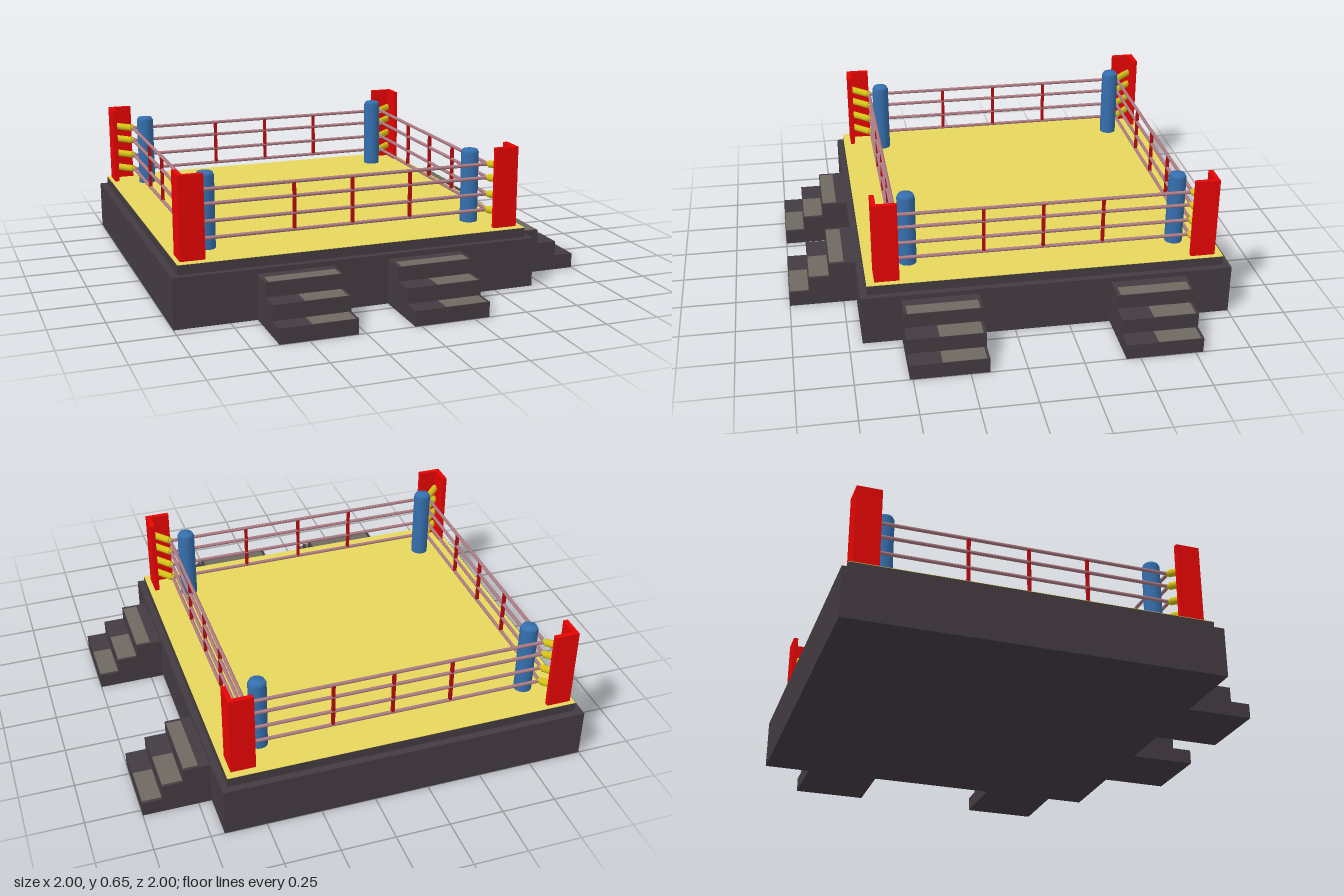
import * as THREE from 'three';

const mat = (name, color) => {
  const m = new THREE.MeshStandardMaterial({ color });
  m.name = name;
  return m;
};

export function createModel() {
  const M = {
    base: mat('charcoal', 0x433b41),
    tread: mat('worn grey', 0x6e6960),
    canvas: mat('canvas yellow', 0xe8d85e),
    red: mat('post red', 0xea0404),
    blue: mat('pad blue', 0x356fae),
    brass: mat('turnbuckle yellow', 0xd2c016),
    rope: mat('rope mauve', 0xac7a82),
    strap: mat('strap dark red', 0xb40c10),
  };
  const ring = new THREE.Group();
  ring.name = 'boxingRing';

  const add = (parent, name, geo, material, x = 0, y = 0, z = 0) => {
    const mesh = new THREE.Mesh(geo, material);
    mesh.name = name;
    mesh.position.set(x, y, z);
    parent.add(mesh);
    return mesh;
  };
  // box given by its min and max corners
  const box = (parent, name, material, x0, x1, y0, y1, z0, z1) =>
    add(parent, name, new THREE.BoxGeometry(x1 - x0, y1 - y0, z1 - z0), material,
      (x0 + x1) / 2, (y0 + y1) / 2, (z0 + z1) / 2);
  // round bar between two points
  const bar = (parent, name, material, a, b, r) => {
    const d = b.clone().sub(a);
    const m = add(parent, name, new THREE.CylinderGeometry(r, r, d.length(), 20), material);
    m.position.copy(a).add(b).multiplyScalar(0.5);
    m.quaternion.setFromUnitVectors(new THREE.Vector3(0, 1, 0), d.normalize());
  };

  // Platform and canvas
  const deck = 0.275;
  box(ring, 'platform', M.base, -1, 0.69, 0, 0.23, -1, 0.69);
  box(ring, 'apron', M.base, -0.967, 0.66, 0.23, deck - 0.002, -0.967, 0.66);
  box(ring, 'canvas', M.canvas, -0.967, 0.66, deck - 0.002, deck, -0.967, 0.66);

  // Steps: local origin is the left end of the flight at the platform wall
  const flight = (x, z, turn) => {
    const g = new THREE.Group();
    g.name = 'steps';
    const w = 0.347, ends = [0.12, 0.217, 0.31], tops = [0.207, 0.14, 0.07];
    let start = -0.01;
    ends.forEach((end, i) => {
      box(g, 'step', M.base, 0, w, 0, tops[i], start, end);
      const x0 = i ? 0.143 : 0.015, x1 = w - 0.013;
      box(g, 'treadPatch', M.tread, x0, x1, tops[i] - 0.001, tops[i] + 0.001,
        i ? start + 0.003 : 0.05, end - 0.003);
      start = end;
    });
    g.position.set(x, 0, z);
    g.rotation.y = turn;
    ring.add(g);
  };
  flight(-0.63, 0.69, 0);
  flight(-0.027, 0.69, 0);
  flight(0.69, -0.437, Math.PI / 2);
  flight(0.69, 0.513, Math.PI / 2);

  // Corners: angle posts, pads and turnbuckles
  const heights = [0.335, 0.41, 0.488, 0.553];
  const rx = [-0.845, 0.538], rz = [-0.838, 0.513];
  const postX = [[-0.948, 0.636], [-0.948, 0.633]];
  const postZ = [[-0.947, -0.932], [0.623, 0.623]];
  const angle = new THREE.Shape([[0, 0], [0.112, 0], [0.112, 0.022], [0.022, 0.022],
    [0.022, 0.112], [0, 0.112]].map(([a, b]) => new THREE.Vector2(a, b)));
  const postGeo = new THREE.ExtrudeGeometry(angle, { depth: 0.375, bevelEnabled: false });
  postGeo.rotateX(-Math.PI / 2); // legs run along +x and -z from the corner
  const padGeo = new THREE.LatheGeometry(
    [[0.041, 0], [0.041, 0.328], [0.034, 0.342], [0, 0.348]]
      .map(([r, y]) => new THREE.Vector2(r, y)), 20);
  const spins = [[-Math.PI / 2, Math.PI], [0, Math.PI / 2]];
  for (let i = 0; i < 2; i++) {
    for (let j = 0; j < 2; j++) {
      const corner = new THREE.Group();
      corner.name = 'corner';
      ring.add(corner);
      const px = postX[j][i], pz = postZ[j][i];
      const inX = i ? -1 : 1, inZ = j ? -1 : 1;
      add(corner, 'cornerPost', postGeo, M.red, px, deck, pz).rotation.y = spins[j][i];
      add(corner, 'cornerPad', padGeo, M.blue, i ? 0.47 : -0.79, deck, j ? 0.458 : -0.785);
      for (const y of heights) {
        const a = new THREE.Vector3(rx[i] + inX * 0.006, y, rz[j] + inZ * 0.006);
        const b = new THREE.Vector3(px + inX * 0.018, y, pz + inZ * 0.018);
        bar(corner, 'turnbuckleRod', M.brass, a, b, 0.012);
        bar(corner, 'turnbuckle', M.brass, a.clone().lerp(b, 0.1), b, 0.017);
      }
    }
  }

  // Ropes
  const V = (x, y, z) => new THREE.Vector3(x, y, z);
  for (const y of heights) {
    for (const z of rz) bar(ring, 'rope', M.rope, V(rx[0], y, z), V(rx[1], y, z), 0.008);
    for (const x of rx) bar(ring, 'rope', M.rope, V(x, y, rz[0]), V(x, y, rz[1]), 0.008);
  }

  // Vertical rope straps
  const [low, , , high] = heights;
  for (const x of [-0.403, -0.13, 0.147]) {
    for (const z of rz) box(ring, 'strap', M.strap, x - 0.007, x + 0.007, low, high, z - 0.007, z + 0.007);
  }
  for (const z of [-0.427, -0.152, 0.12]) {
    for (const x of rx) box(ring, 'strap', M.strap, x - 0.007, x + 0.007, low, high, z - 0.007, z + 0.007);
  }
  return ring;
}
